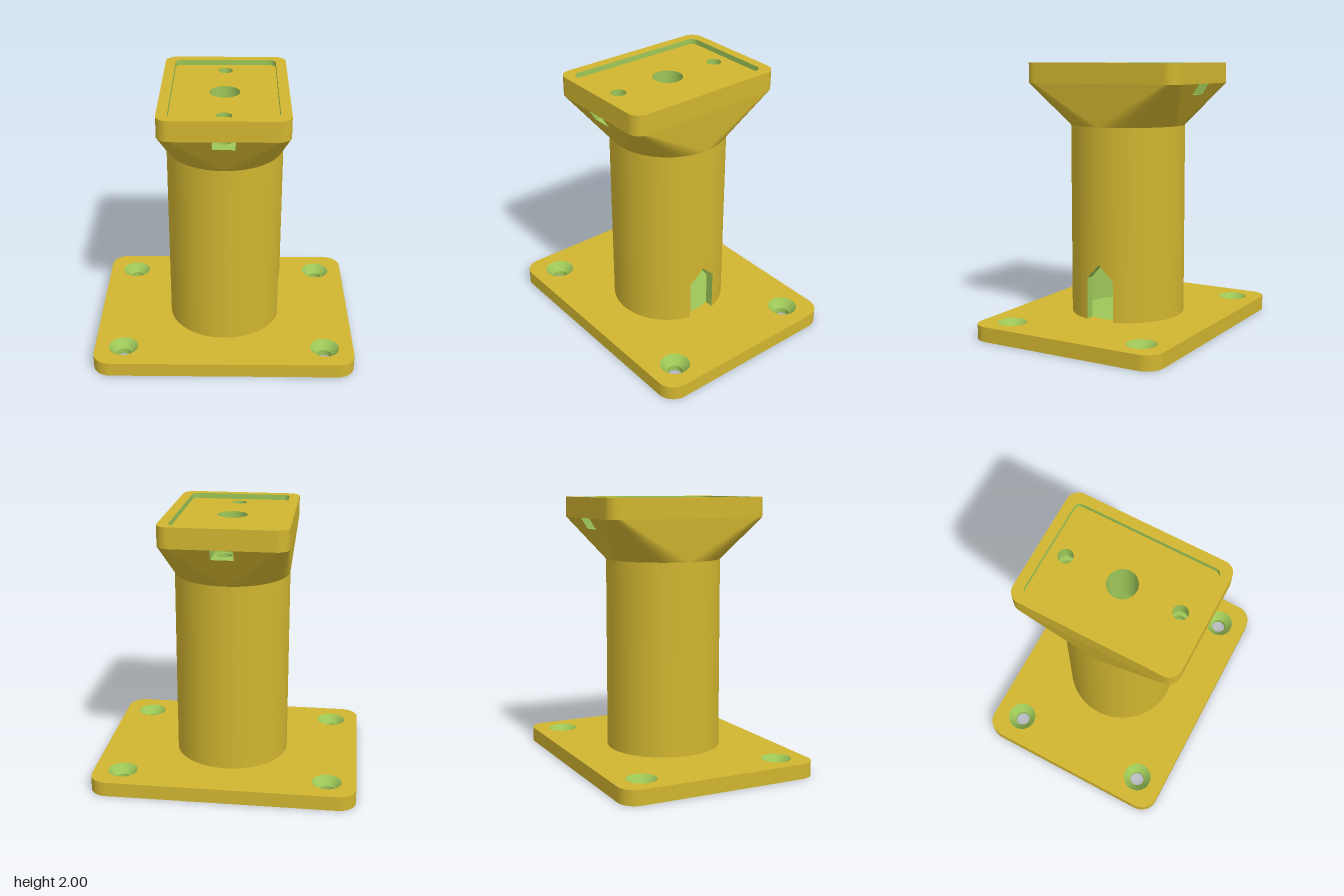
import * as THREE from 'three';

const yellow = new THREE.MeshStandardMaterial({ color: 0xd1b530 });
yellow.name = 'yellow body';
const green = new THREE.MeshStandardMaterial({ color: 0x9dc758, side: THREE.DoubleSide });
green.name = 'green cut surface';

const V = (x, y, z) => new THREE.Vector3(x, y, z);
const SEG = 14; // steps per quarter turn

// Rounded rectangle outline at height y (half sizes hx, hz)
function ring(hx, hz, r, y, cx = 0, cz = 0) {
  const pts = [];
  for (let k = 0; k < 4; k++) {
    const sx = k === 0 || k === 3 ? 1 : -1, sz = k < 2 ? 1 : -1;
    for (let i = 0; i <= SEG; i++) {
      const a = (k + i / SEG) * Math.PI / 2;
      pts.push(V(cx + sx * (hx - r) + r * Math.cos(a), y, cz + sz * (hz - r) + r * Math.sin(a)));
    }
  }
  return pts;
}
const circle = (r, y, cx = 0, cz = 0) => ring(r, r, r, y, cx, cz);

// Wall between a lower and an upper outline
function loft(a, b, { closed = true, skip = [], flat = false } = {}) {
  const n = a.length, idx = [];
  for (let i = 0; i < (closed ? n : n - 1); i++) {
    if (skip.includes(i)) continue;
    const j = (i + 1) % n;
    idx.push(i, n + i, j, n + i, n + j, j);
  }
  let g = new THREE.BufferGeometry().setFromPoints([...a, ...b]);
  g.setIndex(idx);
  if (flat) g = g.toNonIndexed();
  g.computeVertexNormals();
  return g;
}

// Horizontal face with holes, facing up or down
function cap(outline, holes = [], up = true) {
  const flat = pts => pts.map(p => new THREE.Vector2(p.x, up ? -p.z : p.z));
  const s = new THREE.Shape(flat(outline));
  s.holes = holes.map(h => new THREE.Path(flat(h)));
  return new THREE.ShapeGeometry(s)
    .rotateX(up ? -Math.PI / 2 : Math.PI / 2).translate(0, outline[0].y, 0);
}

function add(parent, name, geometry, material) {
  const m = new THREE.Mesh(geometry, material);
  m.name = name;
  parent.add(m);
}

function group(parent, name) {
  const g = new THREE.Group();
  g.name = name;
  parent.add(g);
  return g;
}

const BASE = 0.11, NECK = 1.54, RIM = 1.85, TOP = 2, FLOOR = 1.96;
const R = 0.43, RIN = 0.365, BORE = 0.11;
const HX = 0.457, HZ = 0.628, HR = 0.09;

// Lower edge of the column wall, with the gabled cable opening on +x
function columnFoot(r) {
  const a0 = Math.asin(0.11 / r), pts = [];
  for (let i = 0; i <= 8; i++) {
    const a = a0 * (i / 4 - 1), z = r * Math.sin(a);
    pts.push(V(r * Math.cos(a), 0.53 - Math.abs(z), z));
  }
  for (let i = 0; i <= 60; i++) {
    const a = a0 + (2 * Math.PI - 2 * a0) * i / 60;
    pts.push(V(r * Math.cos(a), BASE, r * Math.sin(a)));
  }
  return pts;
}

function buildBase(root) {
  const g = group(root, 'basePlate');
  const low = ring(0.98, 0.762, 0.13, 0), high = ring(0.98, 0.762, 0.13, BASE);
  const spots = [[1, 1], [1, -1], [-1, 1], [-1, -1]].map(([x, z]) => [x * 0.763, z * 0.545]);
  add(g, 'plateEdge', loft(low, high), yellow);
  add(g, 'plateTop', cap(high, spots.map(([x, z]) => circle(0.11, BASE, x, z))), yellow);
  add(g, 'plateBottom', cap(low, spots.map(([x, z]) => circle(0.055, 0, x, z)), false), yellow);
  // countersunk screw holes
  for (const [x, z] of spots) {
    add(g, 'screwHole', loft(circle(0.055, 0, x, z), circle(0.055, 0.045, x, z)), green);
    add(g, 'countersink', loft(circle(0.055, 0.045, x, z), circle(0.11, BASE, x, z)), green);
  }
}

function buildColumn(root) {
  const g = group(root, 'column');
  const raise = pts => pts.map(p => V(p.x, NECK, p.z));
  const outer = columnFoot(R), inner = columnFoot(RIN);
  add(g, 'columnWall', loft(outer, raise(outer)), yellow);
  add(g, 'columnInside', loft(inner, raise(inner)), green);
  // reveal around the cable opening
  const edge = f => [f[f.length - 1], ...f.slice(0, 10)];
  add(g, 'cableOpening', loft(edge(outer), edge(inner), { closed: false, flat: true }), green);
  add(g, 'columnFloor', cap(circle(RIN, BASE + 0.002)), green);
  add(g, 'columnCeiling', cap(circle(RIN, NECK), [circle(BORE, NECK)], false), green);
}

// One end of the head: sloped face, nut slot and screw hole
function buildHeadEnd(parent) {
  const g = group(parent, 'headEnd');
  const w = HX - HR, slope = y => R + (HZ - R) * (y - NECK) / (RIM - NECK);
  const y0 = 1.77, s = 0.08, zh = 0.435, rh = 0.055;
  const face = new THREE.ShapeGeometry(new THREE.Shape([
    [0, NECK], [w, RIM], [s, RIM], [s, y0], [-s, y0], [-s, RIM], [-w, RIM],
  ].map(([x, y]) => new THREE.Vector2(x, y))));
  const p = face.attributes.position;
  for (let i = 0; i < p.count; i++) p.setZ(i, slope(p.getY(i)));
  face.computeVertexNormals();
  add(g, 'slopedFace', face, yellow);

  // nut slot with a pointed inner end
  const slot = y => [[-s, slope(y)], [-s, 0.389], [0, 0.343], [s, 0.389], [s, slope(y)]]
    .map(([x, z]) => V(x, y, z));
  const hole = y => circle(rh, y, 0, zh);
  add(g, 'nutSlotWalls', loft(slot(y0), slot(RIM), { closed: false, flat: true }), green);
  add(g, 'nutSlotFloor', cap(slot(y0), [hole(y0)]), green);
  add(g, 'nutSlotCeiling', cap(slot(RIM), [hole(RIM)], false), green);
  add(g, 'upperScrewHole', loft(hole(RIM), hole(FLOOR)), green);
  add(g, 'lowerScrewHole', loft(hole(1.7), hole(y0)), green);
  add(g, 'screwHoleEnd', cap(hole(1.7)), green);
  return g;
}

function buildHead(root) {
  const g = group(root, 'head');
  const rim = y => ring(HX, HZ, HR, y), recess = y => ring(0.38, 0.555, 0.05, y);
  // flare from the round column to the rounded rectangle, end faces left out
  const ends = [SEG, 3 * SEG + 2];
  add(g, 'flare', loft(circle(R, NECK), rim(RIM), { skip: ends }), yellow);
  add(g, 'rimEdge', loft(rim(RIM), rim(TOP)), yellow);
  add(g, 'rimTop', cap(rim(TOP), [recess(TOP)]), yellow);
  add(g, 'recessWall', loft(recess(FLOOR), recess(TOP)), green);
  add(g, 'recessFloor', cap(recess(FLOOR), [
    circle(BORE, FLOOR), circle(0.055, FLOOR, 0, 0.435), circle(0.055, FLOOR, 0, -0.435),
  ]), yellow);
  add(g, 'centreBore', loft(circle(BORE, NECK), circle(BORE, FLOOR)), green);
  buildHeadEnd(g);
  buildHeadEnd(g).rotation.y = Math.PI;
}

export function createModel() {
  const root = new THREE.Group();
  root.name = 'pedestalMount';
  buildBase(root);
  buildColumn(root);
  buildHead(root);
  return root;
}
